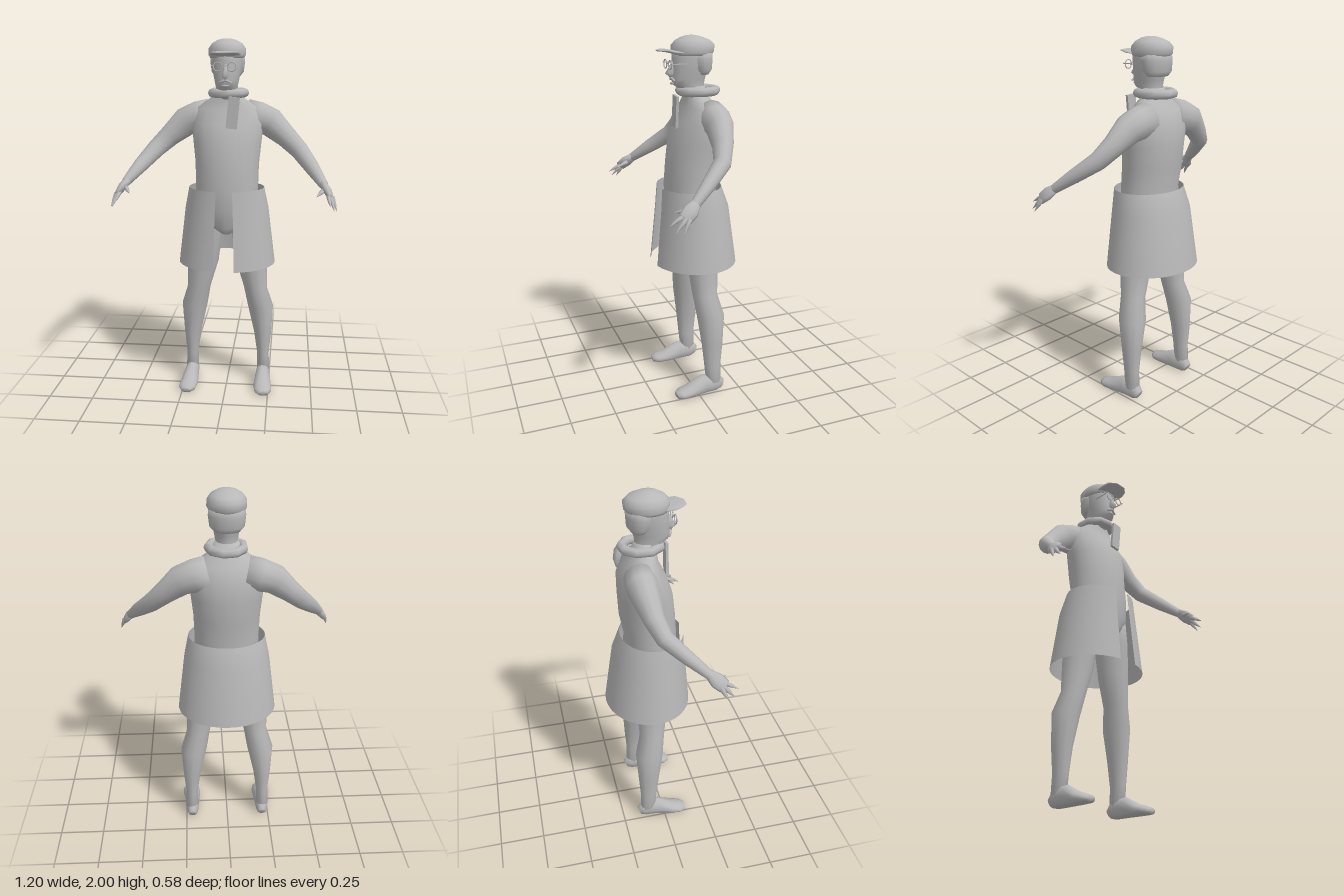
import * as THREE from 'three';

const grey = new THREE.MeshStandardMaterial({ color: 0xb8b8b8, side: THREE.DoubleSide });
grey.name = 'plain grey';

const Y = new THREE.Vector3(0, 1, 0), Z = new THREE.Vector3(0, 0, 1);

// Smooth closed skin through elliptical rings [x, y, z, half width, half depth].
// 'ref' sets the depth direction; 'level' keeps every ring horizontal.
function loft(rings, { n = 12, ref = Z, level = false } = {}) {
  const centres = rings.map(r => new THREE.Vector3(r[0], r[1], r[2]));
  const last = rings.length - 1, pos = [], index = [];
  const add = p => pos.push(p.x, Math.max(0, p.y), p.z);
  rings.forEach((r, i) => {
    const t = centres[Math.min(i + 1, last)].clone().sub(centres[Math.max(i - 1, 0)]);
    if (level) t.set(0, Math.sign(t.y), 0);
    t.normalize();
    const u = ref.clone().addScaledVector(t, -ref.dot(t)).normalize();
    const v = t.clone().cross(u);
    for (let j = 0; j < n; j++) {
      const a = j / n * Math.PI * 2;
      add(centres[i].clone().addScaledVector(u, Math.cos(a) * r[4]).addScaledVector(v, Math.sin(a) * r[3]));
    }
  });
  const start = pos.length / 3;
  add(centres[0]);
  add(centres[last]);
  for (let j = 0; j < n; j++) {
    const k = (j + 1) % n;
    for (let i = 0; i < last; i++) {
      const a = i * n + j, b = i * n + k;
      index.push(a, b, b + n, a, b + n, a + n);
    }
    index.push(start, k, j, start + 1, last * n + j, last * n + k);
  }
  const g = new THREE.BufferGeometry();
  g.setAttribute('position', new THREE.Float32BufferAttribute(pos, 3));
  g.setIndex(index);
  g.computeVertexNormals();
  return g;
}

// Upright form from levels [y, half width, front z, back z]
const column = (levels, n = 16) => loft(
  levels.map(([y, w, f, b]) => [0, y, (f + b) / 2, w, (f - b) / 2]), { n, level: true });

export function createModel() {
  const model = new THREE.Group();
  model.name = 'figure';
  const part = (name, geometry, parent = model) => {
    const m = new THREE.Mesh(geometry, grey);
    m.name = name;
    parent.add(m);
    return m;
  };

  part('torso', column([
    [0.94, 0.03, 0.05, -0.06], [0.98, 0.1, 0.08, -0.14], [1.08, 0.18, 0.1, -0.18], [1.2, 0.175, 0.11, -0.175],
    [1.33, 0.178, 0.1, -0.2], [1.45, 0.19, 0.085, -0.205], [1.55, 0.2, 0.05, -0.205],
    [1.63, 0.18, 0.01, -0.17], [1.685, 0.095, 0, -0.13], [1.74, 0.06, 0, -0.11]], 20));

  // Head and face
  part('head', column([
    [1.68, 0.055, 0, -0.11], [1.73, 0.058, 0.035, -0.11], [1.75, 0.06, 0.065, -0.11], [1.78, 0.066, 0.073, -0.115],
    [1.83, 0.077, 0.068, -0.13], [1.89, 0.085, 0.068, -0.14], [1.94, 0.08, 0.06, -0.13]]));
  part('nose', column([
    [1.79, 0.008, 0.085, 0.05], [1.81, 0.018, 0.107, 0.05], [1.84, 0.012, 0.087, 0.05], [1.87, 0.008, 0.07, 0.05]], 6));
  part('moustache', loft([
    [-0.035, 1.772, 0.066, 0.004, 0.005], [0, 1.786, 0.074, 0.01, 0.01], [0.035, 1.772, 0.066, 0.004, 0.005]], { n: 6 }));
  part('lips', loft([
    [-0.02, 1.757, 0.066, 0.003, 0.004], [0, 1.757, 0.072, 0.007, 0.009], [0.02, 1.757, 0.066, 0.003, 0.004]], { n: 6 }));
  part('hair', column([
    [1.8, 0.065, -0.05, -0.13], [1.825, 0.088, -0.02, -0.148], [1.88, 0.095, 0, -0.152], [1.92, 0.09, 0, -0.15]]));

  // Cap with a forward peak
  part('cap', column([
    [1.9, 0.092, 0.062, -0.148], [1.915, 0.101, 0.07, -0.16], [1.95, 0.1, 0.07, -0.165],
    [1.975, 0.082, 0.048, -0.14], [1.992, 0.052, 0.015, -0.095], [2, 0.02, -0.015, -0.06]], 20));
  part('capPeak', loft([
    [0, 1.915, 0.03, 0.08, 0.008], [0, 1.92, 0.08, 0.085, 0.009], [0, 1.927, 0.115, 0.075, 0.008],
    [0, 1.926, 0.148, 0.035, 0.004]], { n: 12, ref: Y }));

  // Round spectacles
  const glasses = new THREE.Group();
  glasses.name = 'glasses';
  model.add(glasses);
  part('bridge', new THREE.BoxGeometry(0.03, 0.005, 0.005), glasses).position.set(0, 1.86, 0.092);
  for (const s of [-1, 1]) {
    part('lensRim', new THREE.TorusGeometry(0.023, 0.003, 6, 16), glasses).position.set(s * 0.037, 1.855, 0.092);
    part('templeArm', new THREE.BoxGeometry(0.004, 0.005, 0.1), glasses).position.set(s * 0.072, 1.86, 0.045);
  }

  // Scarf ring and hanging end
  const scarf = part('scarf', new THREE.TorusGeometry(0.098, 0.025, 8, 9));
  scarf.rotation.x = Math.PI / 2;
  scarf.scale.set(0.93, 1.02, 1);
  scarf.position.set(0.004, 1.714, -0.075);
  const tail = part('scarfEnd', new THREE.BoxGeometry(0.06, 0.168, 0.015));
  tail.position.set(0.04, 1.615, 0.065);
  tail.rotation.z = -0.1;

  // Wrapped skirt, open at the front; rows are half width, front z, back z
  const gap = 0.21;
  const skirt = new THREE.CylinderGeometry(1, 1, 2, 32, 2, true, gap, Math.PI * 2 - gap * 2);
  const rows = [[1.2, 0.21, 0.148, -0.2], [1.08, 0.235, 0.157, -0.245], [0.76, 0.275, 0.188, -0.292]];
  const p = skirt.attributes.position;
  for (let i = 0; i < p.count; i++) {
    const [y, w, f, b] = rows[Math.round(1 - p.getY(i))];
    p.setXYZ(i, p.getX(i) * w, y, (f + b) / 2 + p.getZ(i) * (f - b) / 2);
  }
  skirt.computeVertexNormals();
  part('skirt', skirt);

  // Limbs, mirrored
  for (const s of [-1, 1]) {
    const side = s > 0 ? 'left' : 'right';
    const limb = (name, rings, options) =>
      part(side + name, loft(rings.map(([x, ...rest]) => [s * x, ...rest]), options));

    limb('Leg', [
      [0.095, 1.1, -0.05, 0.085, 0.11], [0.12, 0.95, -0.052, 0.095, 0.1], [0.14, 0.76, -0.055, 0.09, 0.085],
      [0.165, 0.6, -0.06, 0.067, 0.072], [0.195, 0.48, -0.083, 0.075, 0.08], [0.21, 0.3, -0.09, 0.05, 0.062],
      [0.213, 0.17, -0.092, 0.035, 0.05], [0.215, 0.06, -0.1, 0.037, 0.045]], { level: true });
    limb('Foot', [
      [0.213, 0.03, -0.15, 0.025, 0.03], [0.213, 0.045, -0.12, 0.036, 0.055], [0.213, 0.045, -0.04, 0.042, 0.062],
      [0.217, 0.025, 0.05, 0.052, 0.034], [0.222, 0.018, 0.1, 0.05, 0.026], [0.225, 0.015, 0.13, 0.03, 0.018]], { ref: Y });
    limb('Arm', [
      [0.1, 1.59, -0.105, 0.09, 0.085], [0.17, 1.575, -0.11, 0.088, 0.082], [0.24, 1.55, -0.105, 0.08, 0.072],
      [0.325, 1.475, -0.085, 0.06, 0.055], [0.4, 1.405, -0.05, 0.05, 0.046], [0.47, 1.325, 0.05, 0.04, 0.037],
      [0.53, 1.25, 0.145, 0.025, 0.025]]);

    // Hand with tapering fingers
    limb('Palm', [
      [0.525, 1.255, 0.14, 0.022, 0.025], [0.548, 1.225, 0.175, 0.022, 0.04], [0.565, 1.195, 0.21, 0.015, 0.036]], { n: 10 });
    const fingers = [
      [0.525, 1.225, 0.18, 0.49, 1.205, 0.245], [0.552, 1.205, 0.215, 0.56, 1.165, 0.285],
      [0.566, 1.195, 0.205, 0.583, 1.135, 0.262], [0.575, 1.195, 0.19, 0.598, 1.128, 0.228]];
    for (const [x, y, z, tx, ty, tz] of fingers) {
      limb('Finger', [
        [x, y, z, 0.013, 0.014], [(x + tx) / 2, (y + ty) / 2, (z + tz) / 2, 0.009, 0.01], [tx, ty, tz, 0.001, 0.001]], { n: 6 });
    }
  }
  return model;
}
